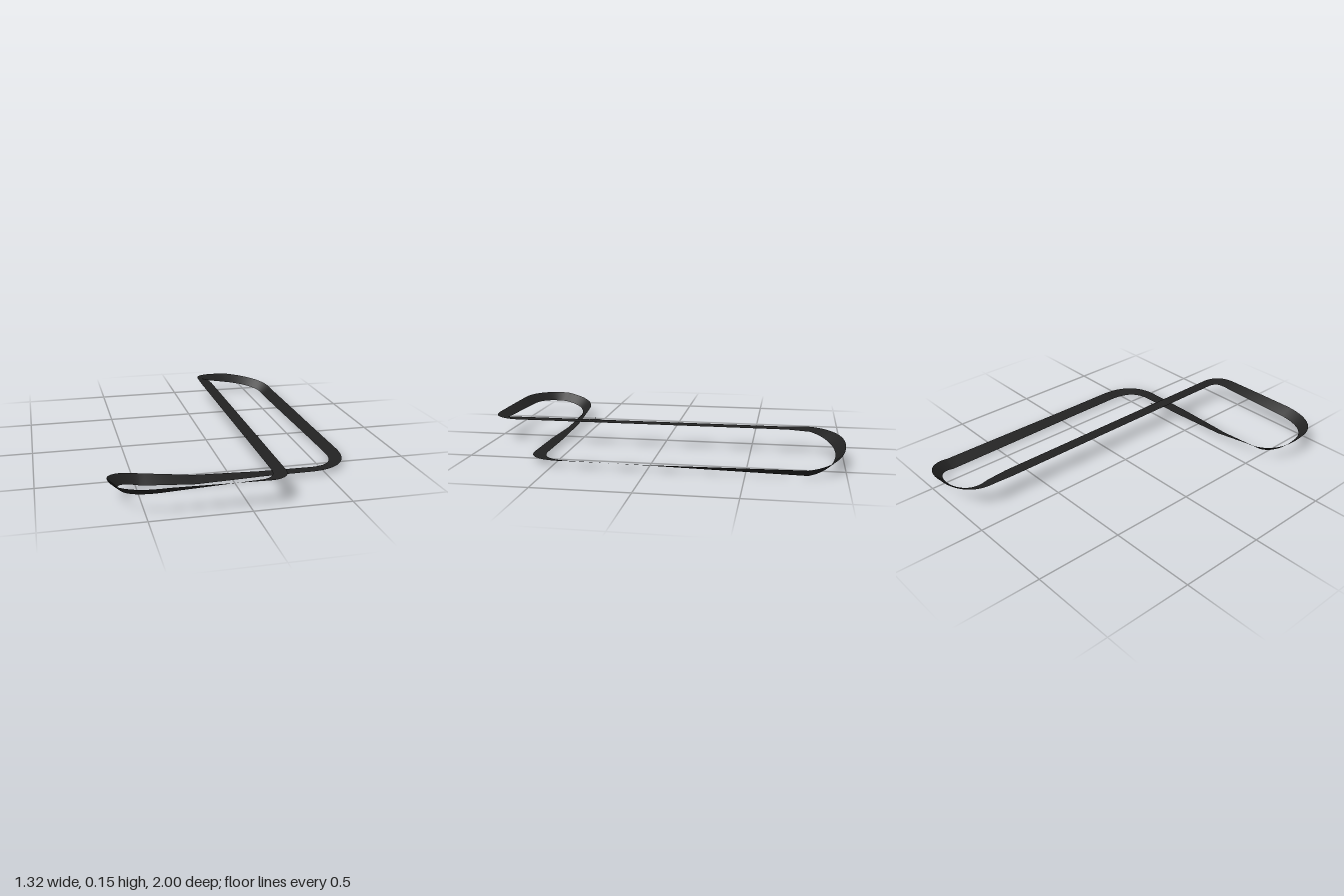
import * as THREE from 'three';

const HALF_WIDTH = 0.035;

// Centre line stations: x, z, height, bank in degrees (positive lifts the right edge),
// then the two bezier handles that lead to the next station (none for a straight).
const stations = [
  { p: [0.165, 0.85], y: 0.145, bank: 0 },
  { p: [0.165, -0.7], y: 0.145, bank: 0 },
  { p: [0.165, -0.82], y: 0.143, bank: -10, h: [[0.165, -0.92], [0.26, -0.975]] },
  { p: [0.385, -0.975], y: 0.095, bank: -44, h: [[0.51, -0.975], [0.62, -0.92]] },
  { p: [0.622, -0.81], y: 0.027, bank: -38 },
  { p: [0.622, 0], y: 0.03, bank: -18 },
  { p: [0.62, 0.4], y: 0.033, bank: -15, h: [[0.62, 0.55], [0.55, 0.62]] },
  { p: [0.43, 0.62], y: 0.027, bank: -3 },
  { p: [0.15, 0.62], y: 0.027, bank: 0 },
  { p: [-0.2, 0.62], y: 0.028, bank: 20 },
  { p: [-0.48, 0.62], y: 0.055, bank: 38, h: [[-0.58, 0.62], [-0.635, 0.69]] },
  { p: [-0.635, 0.79], y: 0.118, bank: 44, h: [[-0.635, 0.9], [-0.55, 0.965]] },
  { p: [-0.4, 0.965], y: 0.138, bank: 39 },
  { p: [0.06, 0.965], y: 0.144, bank: 18, h: [[0.13, 0.965], [0.165, 0.93]] },
];

// Closed banked ribbon swept along the stations
function ribbonGeometry() {
  const positions = [];
  const index = [];
  stations.forEach((a, i) => {
    const b = stations[(i + 1) % stations.length];
    const start = new THREE.Vector2(...a.p);
    const end = new THREE.Vector2(...b.p);
    const curve = a.h
      ? new THREE.CubicBezierCurve(start, new THREE.Vector2(...a.h[0]), new THREE.Vector2(...a.h[1]), end)
      : new THREE.LineCurve(start, end);
    const steps = a.h ? 20 : 10;
    for (let s = 0; s < steps; s++) {
      const t = s / steps;
      const c = curve.getPoint(t);
      const d = curve.getTangent(t);
      const y = THREE.MathUtils.lerp(a.y, b.y, t);
      const bank = THREE.MathUtils.degToRad(THREE.MathUtils.lerp(a.bank, b.bank, t));
      const flat = Math.cos(bank) * HALF_WIDTH;
      const rise = Math.sin(bank) * HALF_WIDTH;
      for (const side of [-1, 1]) {
        positions.push(c.x - d.y * flat * side, y + rise * side, c.y + d.x * flat * side);
      }
    }
  });
  const count = positions.length / 3;
  for (let i = 0; i < count; i += 2) {
    const j = (i + 2) % count;
    index.push(i, i + 1, j, i + 1, j + 1, j);
  }
  const geometry = new THREE.BufferGeometry();
  geometry.setAttribute('position', new THREE.Float32BufferAttribute(positions, 3));
  geometry.setIndex(index);
  geometry.computeVertexNormals();
  return geometry;
}

export function createModel() {
  const asphalt = new THREE.MeshStandardMaterial({ color: 0x222222, side: THREE.DoubleSide });
  asphalt.name = 'asphalt';
  const grey = new THREE.MeshStandardMaterial({ color: 0x808080 });
  grey.name = 'grey';

  const model = new THREE.Group();
  model.name = 'raceTrack';

  const track = new THREE.Mesh(ribbonGeometry(), asphalt);
  track.name = 'trackSurface';
  model.add(track);

  // Tiny start markers on both edges of the upper straight
  for (const side of [-1, 1]) {
    const marker = new THREE.Group();
    marker.name = side > 0 ? 'leftStartMarker' : 'rightStartMarker';
    marker.position.set(0.165 + side * 0.032, 0.145, 0.395);
    const add = (name, w, h, d, y) => {
      const mesh = new THREE.Mesh(new THREE.BoxGeometry(w, h, d), grey);
      mesh.name = name;
      mesh.position.y = y;
      marker.add(mesh);
    };
    add('markerRail', 0.002, 0.002, 0.08, 0.002);
    add('markerPost', 0.002, 0.01, 0.002, 0.006);
    add('markerBar', 0.014, 0.002, 0.003, 0.011);
    model.add(marker);
  }
  return model;
}
